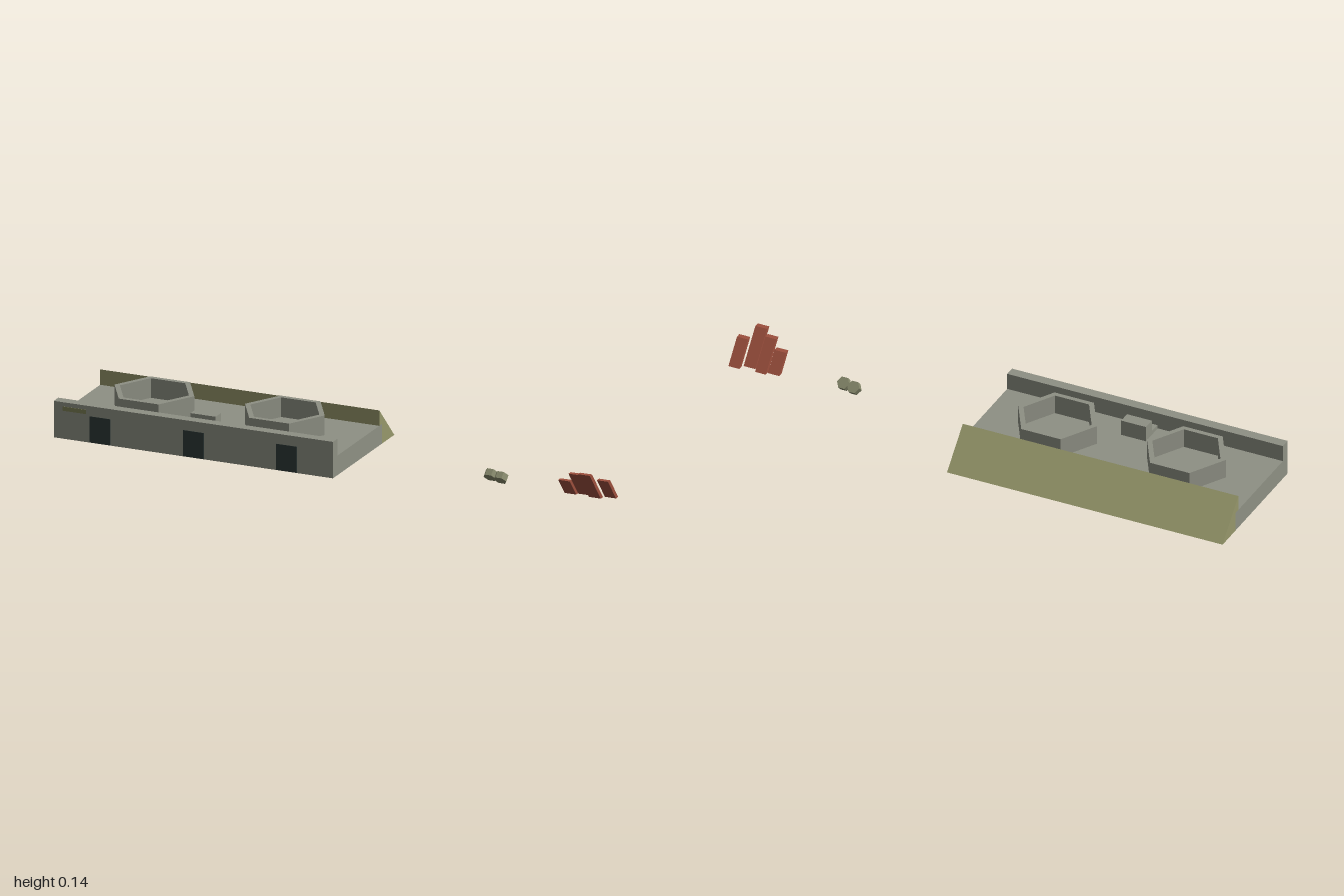
import * as THREE from 'three';

const mat = (color) => new THREE.MeshStandardMaterial({ color, flatShading: true });

export function createModel() {
  const group = new THREE.Group();
  const concrete = mat(0x8e9084), earth = mat(0x96976b), dark = mat(0x2d3836);
  const rust = mat(0x9c4f3d), sack = mat(0x85876a), plate = mat(0x7c7f55);

  const add = (name, geometry, material) => {
    const mesh = new THREE.Mesh(geometry, material);
    mesh.name = name;
    group.add(mesh);
    return mesh;
  };
  // Box given by its limits
  const box = (name, x0, x1, y0, y1, z0, z1, material) =>
    add(name, new THREE.BoxGeometry(x1 - x0, y1 - y0, z1 - z0)
      .translate((x0 + x1) / 2, (y0 + y1) / 2, (z0 + z1) / 2), material);
  // Side profile of [z, y] points drawn out along x
  const prism = (name, points, x0, x1, material) => {
    const shape = new THREE.Shape(points.map(([z, y]) => new THREE.Vector2(z, y)));
    const geometry = new THREE.ExtrudeGeometry(shape, { depth: x1 - x0, bevelEnabled: false });
    add(name, geometry.rotateY(-Math.PI / 2).translate(x1, 0, 0), material);
  };
  const hexagon = (r) => Array.from({ length: 6 }, (_, i) =>
    new THREE.Vector2(r * Math.cos(i * Math.PI / 3), r * Math.sin(i * Math.PI / 3)));

  // Bunker floor with front parapet, and earth bank at the back
  prism('bunkerBody', [[-0.15, 0], [0.25, 0], [0.25, 0.13], [0.213, 0.13], [0.213, 0.07], [-0.15, 0.07]],
    -1, 0.036, concrete);
  prism('earthBank', [[-0.25, 0], [-0.15, 0], [-0.15, 0.07], [-0.128, 0.07], [-0.128, 0.125]],
    -1, 0.036, earth);

  // Hexagonal gun pits
  for (const x of [-0.724, -0.24]) {
    const ring = new THREE.Shape(hexagon(0.148));
    ring.holes.push(new THREE.Path(hexagon(0.128).reverse()));
    const geometry = new THREE.ExtrudeGeometry(ring, { depth: 0.07, bevelEnabled: false });
    add('gunPit', geometry.rotateX(-Math.PI / 2).translate(x, 0.07, 0.036), concrete);
  }

  // Steps behind the parapet
  box('lowStep', -0.53, -0.437, 0.07, 0.085, 0.167, 0.209, concrete);
  box('highStep', -0.53, -0.437, 0.07, 0.127, 0.122, 0.167, concrete);

  // Doorways and wall plate
  for (const x of [-0.828, -0.481, -0.136])
    box('doorway', x - 0.038, x + 0.038, 0.001, 0.094, 0.245, 0.2515, dark);
  box('wallPlate', -0.967, -0.88, 0.1, 0.115, 0.245, 0.2515, plate);

  // Leaning slabs: [left edge, right edge, height, foot z]
  const slabs = [[0.811, 0.854, 0.063, 0.046], [0.856, 0.896, 0.096, 0.034],
    [0.903, 0.947, 0.109, 0.05], [0.952, 0.993, 0.08, 0.027]];
  for (const [x0, x1, h, z] of slabs) {
    const geometry = new THREE.BoxGeometry(x1 - x0, h, 0.018).translate((x0 + x1) / 2, h / 2, z + 0.009);
    const shear = new THREE.Matrix4().set(1, 0, 0, 0, 0, 1, 0, 0, 0, 0.83, 1, 0, 0, 0, 0, 1);
    add('leaningSlab', geometry.applyMatrix4(shear), rust);
  }

  // Two short tipped-over drums
  for (const [x, y, z] of [[0.534, 0.024, 0.057], [0.577, 0.023, 0.067]]) {
    const drum = add('tippedDrum', new THREE.CylinderGeometry(0.023, 0.023, 0.025, 6), sack);
    drum.geometry.rotateY(Math.PI / 6);
    drum.position.set(x, y, z);
    drum.rotation.x = -Math.PI / 4;
  }
  return group;
}
